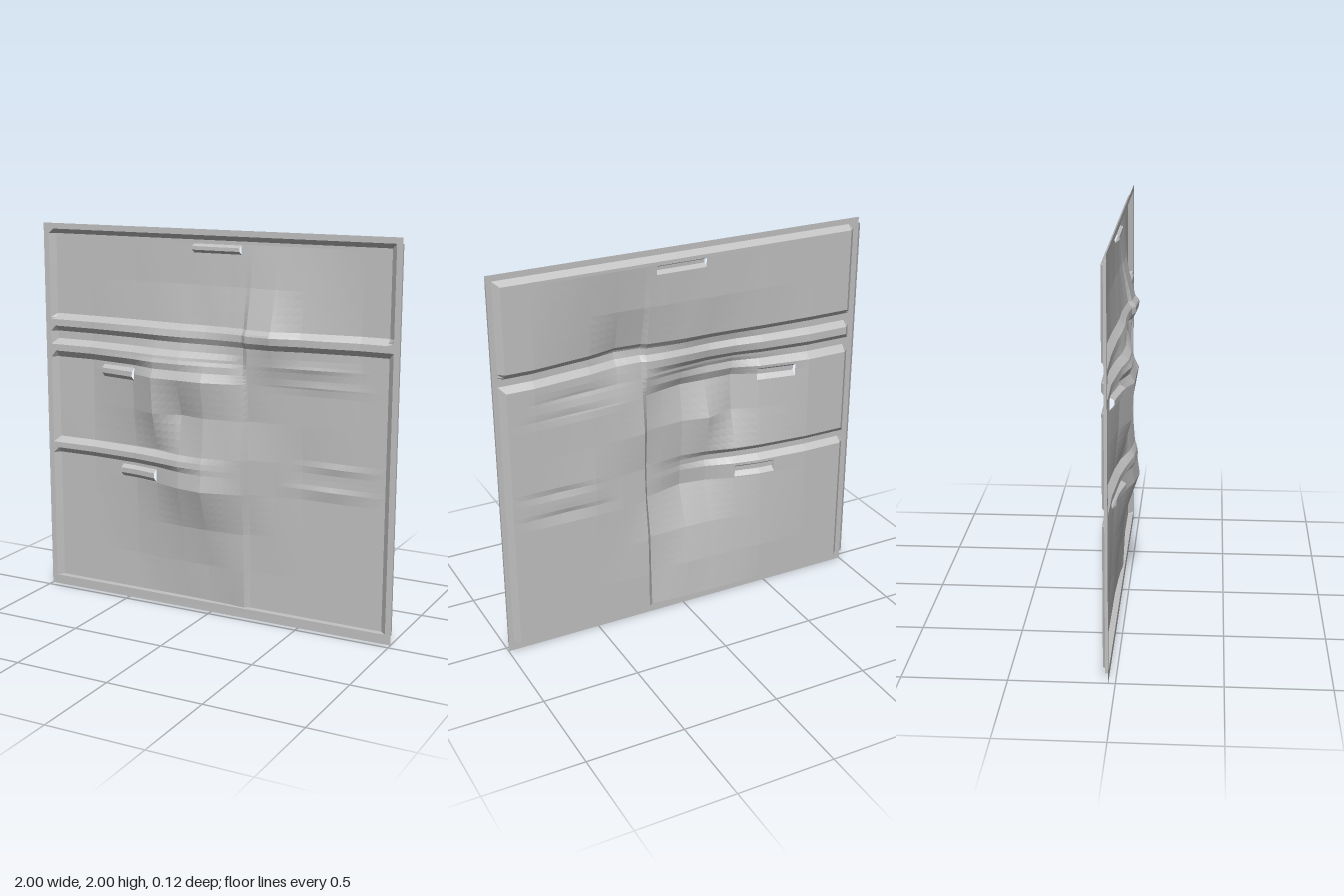
import * as THREE from 'three';

const BACK = -0.062, RIM = 0.029; // depth of the pan floor, height of the rim above it

// Crumple heights in hundredths, zero outside the listed columns
const DENT_X = [-0.72, -0.45, -0.31, -0.16, -0.02, 0.1, 0.19, 0.215, 0.35, 0.5, 0.8];
const DENTS = [
  [0.05, [0, 0, 0, 0, 0.5, 1, 2, 0, 0, 0, 0]],
  [0.25, [0, 0, 1, 1.5, 1.5, 2.5, 3, 0, 0, 0, 0]],
  [0.45, [0, 1, 2.5, 4, 4.5, 4, 3.5, 0.5, 0.5, 0, 0]],
  [0.67, [0, 2, 5, 10, 12, 9, 7, 3, 1, 0, 0]],
  [0.85, [0, 2, 4, 8, 9.5, 8, 7.5, 4, 2, 0, 0]],
  [1.05, [0, 4, 9.5, 5, 8, 7, 6, 3, 2, 1, 0]],
  [1.24, [0, 5, 11, 11, 11.5, 9, 6.5, 5, 3, 1.5, 0]],
  [1.34, [0, 3, 6, 7, 6, 5, 5, 6, 5, 3, 0]],
  [1.5, [0, 1, 2, 3, 3, 4, 5, 7, 8, 4, 0]],
  [1.72, [0, 0, 0.5, 0.5, 1, 1, 1.5, 2, 2.5, 2, 0]],
  [1.93, [0, 0, 0, 0, 0, 0, 0, 0, 0, 0, 0]],
];

// Stamped ribs: profile heights in y, then how the height changes along x
const RIBS = [
  { ys: [1.425, 1.455, 1.49, 1.52], xs: [-1, -0.3, 0.05, 0.3, 0.6, 1], hs: [1, 0.95, 0.6, 0.6, 1, 1] },
  { ys: [1.285, 1.32, 1.355, 1.385], xs: [-1, -0.4, 0.1, 0.19], hs: [1, 1, 0.4, 0] },
  { ys: [0.755, 0.785, 0.815, 0.845], xs: [-1, -0.3, 0, 0.19], hs: [1, 1, 0.15, 0] },
];

// Narrow wrinkles: centre x, y, half length, half width, height
const WRINKLES = [
  [0.68, 0.85, 0.25, 0.03, 0.008], [0.65, 0.73, 0.28, 0.03, 0.01],
  [0.55, 1.34, 0.3, 0.03, 0.008], [0.6, 1.25, 0.3, 0.03, 0.006],
];

// Raised bridge slots: x range and y range
const SLOTS = [[-0.11, 0.155, 1.88, 1.925], [-0.645, -0.44, 1.205, 1.27], [-0.535, -0.315, 0.675, 0.74]];

function lerpTable(xs, vs, x) {
  if (x <= xs[0]) return vs[0];
  for (let i = 1; i < xs.length; i++) {
    if (x <= xs[i]) return vs[i - 1] + (vs[i] - vs[i - 1]) * (x - xs[i - 1]) / (xs[i] - xs[i - 1]);
  }
  return vs[vs.length - 1];
}

// Pan depth at a point: the rim slopes, or dents, ribs and wrinkles
function surface(x, y) {
  const rim = Math.max(
    lerpTable([0.94, 0.97], [0, 1], Math.abs(x)),
    lerpTable([0.05, 0.052], [1, 0], y),
    lerpTable([1.945, 1.97], [0, 1], y));
  let h = lerpTable(DENTS.map(d => d[0]), DENTS.map(d => lerpTable(DENT_X, d[1], x)), y) / 100;
  for (const r of RIBS) h += RIM * lerpTable(r.ys, [0, 1, 1, 0], y) * lerpTable(r.xs, r.hs, x);
  for (const [cx, cy, rx, ry, k] of WRINKLES) {
    h += k * Math.max(0, 1 - Math.abs(x - cx) / rx) * Math.max(0, 1 - Math.abs(y - cy) / ry);
  }
  if (Math.abs(x) > 0.9) h = Math.min(h, RIM);
  return BACK + Math.max(h, rim * RIM);
}

// Sorted grid lines: all key lines, plus filler lines where there is room
function gridLines(keys, from, to, step) {
  const lines = [...new Set(keys)];
  for (let v = from; v < to; v += step) {
    if (lines.every(k => Math.abs(k - v) > step * 0.4)) lines.push(v);
  }
  return lines.sort((a, b) => a - b);
}

// Quads over a grid, kept where the test on the cell centre passes
function sheet(xs, ys, depth, keep) {
  const pos = [], index = [], n = xs.length;
  for (const y of ys) for (const x of xs) pos.push(x, y, depth(x, y));
  for (let j = 0; j < ys.length - 1; j++) {
    for (let i = 0; i < n - 1; i++) {
      if (!keep((xs[i] + xs[i + 1]) / 2, (ys[j] + ys[j + 1]) / 2)) continue;
      const a = j * n + i;
      index.push(a, a + 1, a + n + 1, a, a + n + 1, a + n);
    }
  }
  const g = new THREE.BufferGeometry();
  g.setAttribute('position', new THREE.Float32BufferAttribute(pos, 3));
  g.setIndex(index);
  g.computeVertexNormals();
  return g;
}

export function createModel() {
  const group = new THREE.Group();
  const steel = new THREE.MeshStandardMaterial({ color: 0xc0c0c0, side: THREE.DoubleSide, flatShading: true });
  steel.name = 'bare steel';
  const add = (name, geometry) => {
    const mesh = new THREE.Mesh(geometry, steel);
    mesh.name = name;
    group.add(mesh);
    return mesh;
  };

  // Crumpled pan with ribs, open behind the slots
  const xs = gridLines([-0.97, -0.94, 0.94, 0.97, ...DENT_X, ...SLOTS.flatMap(s => [s[0], s[1]])], -0.95, 0.95, 0.04);
  const ys = gridLines([0.05, 0.052, 1.945, 1.97, ...DENTS.map(d => d[0]), ...RIBS.flatMap(r => r.ys),
    ...SLOTS.flatMap(s => [s[2], s[3]]), ...WRINKLES.map(w => w[1])], 0.08, 1.93, 0.04);
  const inSlot = (x, y) => SLOTS.some(s => x > s[0] && x < s[1] && y > s[2] && y < s[3]);
  add('dentedPanel', sheet(xs, ys, surface, (x, y) => !inSlot(x, y)));

  // Bridges over the slots, open at both ends
  SLOTS.forEach(([x0, x1, y0, y1], i) => {
    const h = y1 - y0;
    const rows = [y0, y0 + h * 0.35, y0 + h * 0.75, y1];
    const cols = gridLines([x0, x1], x0 + 0.04, x1, 0.04);
    const bridge = (x, y) => surface(x, y) + lerpTable(rows, [0, 0.024, 0.024, 0], y);
    add('slotBridge' + (i + 1), sheet(cols, rows, bridge, () => true));
  });

  // Flat flange around the pan
  const rect = (path, w, y0, y1) =>
    path.moveTo(-w, y0).lineTo(w, y0).lineTo(w, y1).lineTo(-w, y1).closePath();
  const frame = rect(new THREE.Shape(), 1, 0, 2);
  frame.holes.push(rect(new THREE.Path(), 0.97, 0.05, 1.97));
  add('flange', new THREE.ShapeGeometry(frame)).position.z = BACK + RIM;

  // Folded lips along both sides
  for (const s of [1, -1]) {
    const lip = add(s > 0 ? 'leftLip' : 'rightLip', new THREE.PlaneGeometry(0.014, 1.92));
    lip.rotation.y = s * Math.PI / 2;
    lip.position.set(s, 1.01, BACK + RIM - 0.007);
  }
  return group;
}
